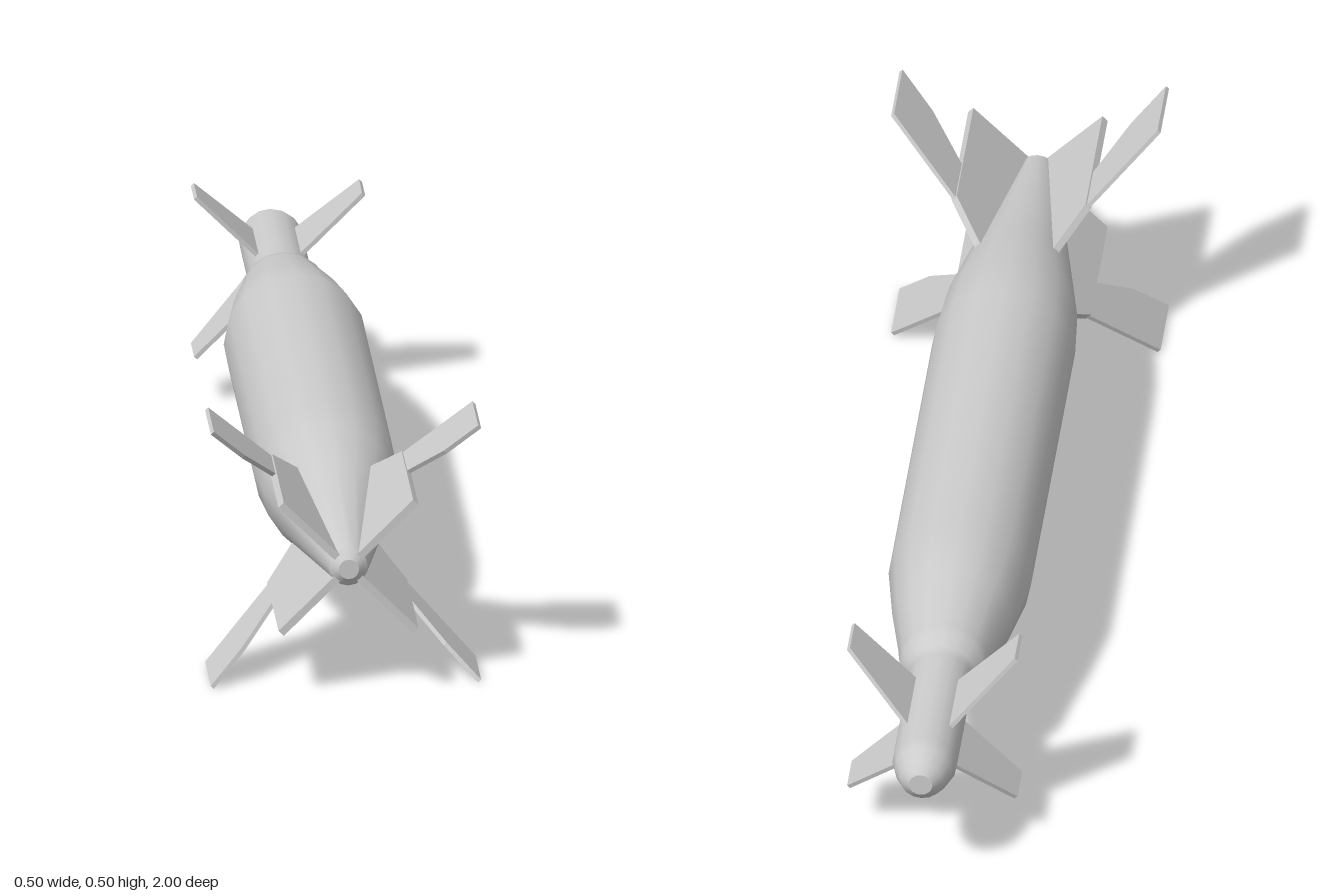
import * as THREE from 'three';

const AXIS_Y = 0.252;
const grey = new THREE.MeshStandardMaterial({ color: 0xcccccc });

function add(parent, geometry, name) {
  const mesh = new THREE.Mesh(geometry, grey);
  mesh.name = name;
  parent.add(mesh);
  return mesh;
}

// Flat plate through the axis; points are [radial distance, z]
function plate(points, thickness) {
  const shape = new THREE.Shape(points.map(([r, z]) => new THREE.Vector2(r, z)));
  const g = new THREE.ExtrudeGeometry(shape, { depth: thickness, bevelEnabled: false });
  g.translate(0, 0, -thickness / 2);
  return g.rotateX(Math.PI / 2);
}

export function createModel() {
  const model = new THREE.Group();
  const bomb = new THREE.Group();
  bomb.name = 'glideBomb';
  bomb.position.y = AXIS_Y;
  model.add(bomb);

  // Turned body, nose at -z, as [radius, z]
  const profile = [
    [0.022, -1], [0.04, -0.985], [0.053, -0.955], [0.06, -0.93], [0.06, -0.66],
    [0.066, -0.643], [0.08, -0.622], [0.084, -0.6], [0.088, -0.575], [0.112, -0.46],
    [0.133, -0.33], [0.133, 0.41], [0.124, 0.53], [0.101, 0.65], [0.036, 0.985],
  ];
  const toPoints = (list) => list.map(([r, z]) => new THREE.Vector2(r, z));
  add(bomb, new THREE.LatheGeometry(toPoints(profile), 16).rotateX(Math.PI / 2), 'body');

  // Chamfered tail end and the two flat caps
  const tail = toPoints([[0.036, 0.985], [0.019, 1]]);
  add(bomb, new THREE.LatheGeometry(tail, 16).rotateX(Math.PI / 2), 'tailChamfer');
  add(bomb, new THREE.CircleGeometry(0.019, 16).translate(0, 0, 1), 'tailCap');
  add(bomb, new THREE.CircleGeometry(0.022, 16).rotateY(Math.PI).translate(0, 0, -1), 'noseCap');

  // Four of each fin, set in an X around the axis
  const q = Math.SQRT2;
  const tailFin = plate([
    [0.01, 0.63], [0.072 * q, 0.63], [0.125 * q, 0.706], [0.125 * q, 0.99], [0.01, 0.99],
  ], 0.014);
  const finTip = plate([
    [0.123 * q, 0.704], [0.248 * q, 0.785], [0.248 * q, 0.928], [0.187 * q, 0.888], [0.123 * q, 0.81],
  ], 0.008);
  const canard = plate([
    [0.03, -0.88], [0.042 * q, -0.868], [0.156 * q, -0.8], [0.156 * q, -0.72], [0.03, -0.72],
  ], 0.008);
  for (let i = 0; i < 4; i++) {
    const arm = new THREE.Group();
    arm.name = 'finSet' + (i + 1);
    arm.rotation.z = Math.PI / 4 + (i * Math.PI) / 2;
    add(arm, tailFin, 'tailFin');
    add(arm, finTip, 'tailFinTip');
    add(arm, canard, 'noseFin');
    bomb.add(arm);
  }
  return model;
}
